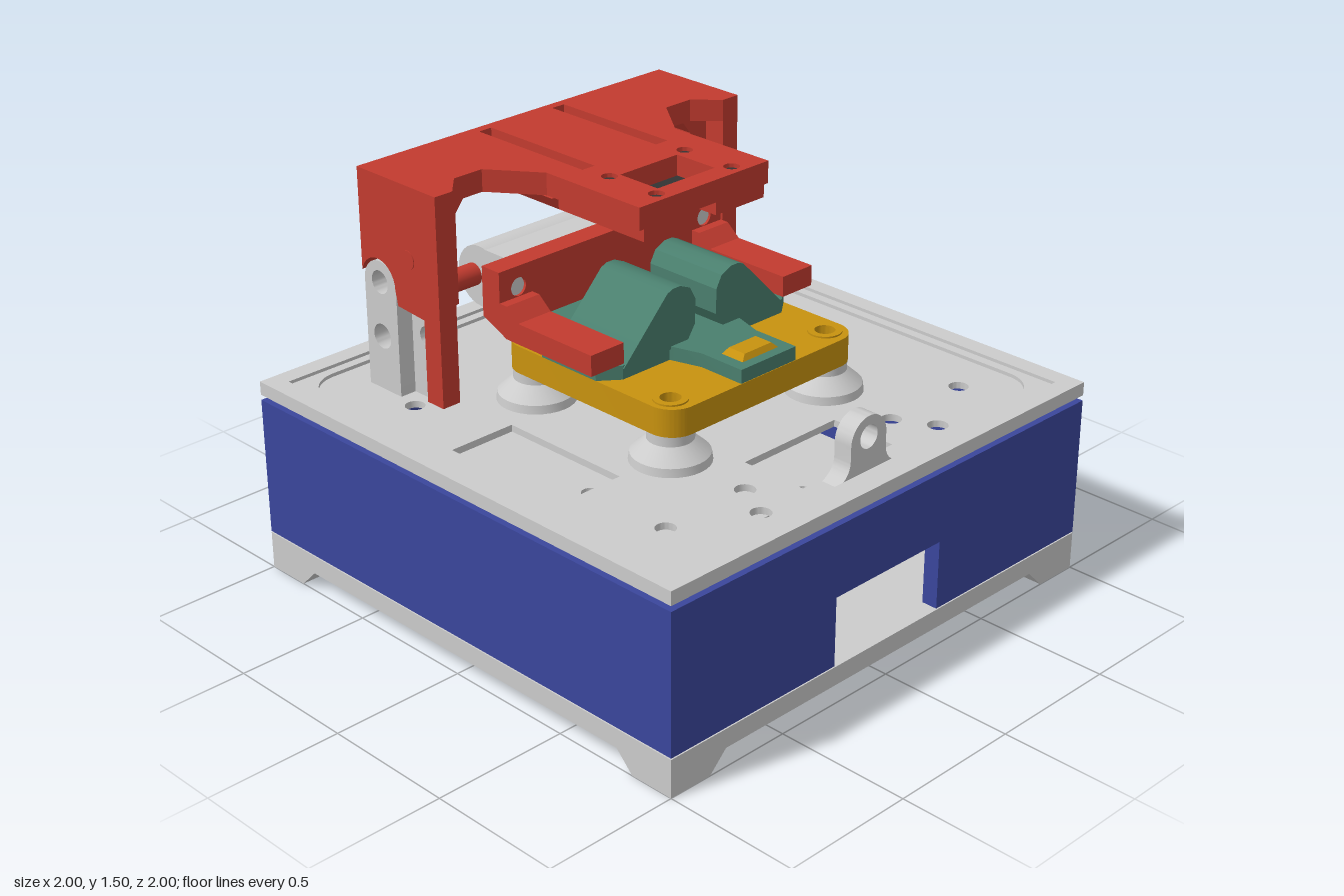
import * as THREE from 'three';
import { toCreasedNormals } from 'three/addons/utils/BufferGeometryUtils.js';

const mat = (color) => new THREE.MeshStandardMaterial({ color });

export function createModel() {
  const root = new THREE.Group();
  const grey = mat(0xcccccc), red = mat(0xc23b2f), blue = mat(0x3a469c);
  const gold = mat(0xc8920f), teal = mat(0x4a7f6e), black = mat(0x333333);

  const add = (name, geo, m) => {
    const mesh = new THREE.Mesh(geo, m);
    mesh.name = name;
    root.add(mesh);
    return mesh;
  };
  // box from its limits
  const box = (name, m, x0, x1, y0, y1, z0, z1) => {
    const g = new THREE.BoxGeometry(Math.abs(x1 - x0), y1 - y0, z1 - z0);
    return add(name, g.translate((x0 + x1) / 2, (y0 + y1) / 2, (z0 + z1) / 2), m);
  };
  const poly = (pts) => new THREE.Shape(pts.map((p) => new THREE.Vector2(p[0], p[1])));
  const rect = (x0, x1, y0, y1) => poly([[x0, y0], [x1, y0], [x1, y1], [x0, y1]]);
  const round = (x0, x1, y0, y1, r) => {
    const s = new THREE.Shape();
    s.absarc(x1 - r, y1 - r, r, 0, Math.PI / 2);
    s.absarc(x0 + r, y1 - r, r, Math.PI / 2, Math.PI);
    s.absarc(x0 + r, y0 + r, r, Math.PI, Math.PI * 1.5);
    s.absarc(x1 - r, y0 + r, r, Math.PI * 1.5, Math.PI * 2);
    return s;
  };
  const disc = (x, y, r) => new THREE.Shape().absarc(x, y, r, 0, Math.PI * 2);
  const extrude = (shape, holes, depth) => {
    shape.holes.push(...holes);
    const g = new THREE.ExtrudeGeometry(shape, { depth, bevelEnabled: false, curveSegments: 16 });
    return toCreasedNormals(g, 0.5);
  };
  // plan shape drawn in (x, -z), raised from y0 to y1
  const plan = (name, m, shape, holes, y0, y1) =>
    add(name, extrude(shape, holes, y1 - y0).rotateX(-Math.PI / 2).translate(0, y0, 0), m);
  // profile drawn in (z, y), spanning xa to xb
  const side = (name, m, shape, holes, xa, xb) =>
    add(name, extrude(shape, holes, Math.abs(xb - xa)).rotateY(-Math.PI / 2).translate(Math.max(xa, xb), 0, 0), m);
  // profile drawn in (x, y), spanning z0 to z1
  const front = (name, m, shape, holes, z0, z1) =>
    add(name, extrude(shape, holes, z1 - z0).translate(0, 0, z0), m);
  const cylX = (name, m, xa, xb, y, z, r) =>
    add(name, new THREE.CylinderGeometry(r, r, Math.abs(xb - xa), 32)
      .rotateZ(Math.PI / 2).translate((xa + xb) / 2, y, z), m);

  const S = [-1, 1];
  const through = [[0.71, -0.685], [-0.71, -0.685], [0.71, 0.52], [-0.71, 0.52]];

  // base plate, feet and screw bosses
  plan('basePlate', grey, rect(-1, 1, -1, 1), [
    rect(-0.57, 0.6, -0.42, 0.24), disc(0, -0.6, 0.045), disc(0, 0.42, 0.035),
    ...through.map(([x, y]) => disc(x, y, 0.036)),
  ], 0.07, 0.14);
  through.forEach(([x, y]) => plan('screwBoss', grey, disc(x, y, 0.065), [disc(x, y, 0.036)], 0.045, 0.07));
  for (const sx of S) for (const sz of S) {
    const g = new THREE.BoxGeometry(0.24, 0.07, 0.24);
    const p = g.attributes.position;
    for (let i = 0; i < p.count; i++) {
      if (p.getY(i) > 0) continue;
      if (p.getX(i) * sx < 0) p.setX(i, p.getX(i) + 0.07 * sx);
      if (p.getZ(i) * sz < 0) p.setZ(i, p.getZ(i) + 0.07 * sz);
    }
    g.computeVertexNormals();
    add('foot', g.translate(sx * 0.88, 0.035, sz * 0.88), grey);
  }

  // circuit tray inside the housing
  plan('innerTray', grey, rect(-0.56, 0.56, -0.22, 0.14), [
    rect(-0.45, 0.35, 0.07, 0.09), disc(-0.5, -0.17, 0.02), disc(0.5, -0.17, 0.02), disc(-0.5, 0.09, 0.02),
  ], 0.16, 0.19);
  box('innerBoard', grey, -0.45, 0.04, 0.19, 0.23, -0.1, 0.18);

  // housing walls with a window in front and back
  for (const s of S) {
    box('sideWall', blue, s * 0.94, s, 0.145, 0.66, -1, 1);
    front('windowWall', blue, poly([[-0.94, 0.145], [-0.26, 0.145], [-0.26, 0.4], [0.25, 0.4], [0.25, 0.145],
      [0.94, 0.145], [0.94, 0.66], [-0.94, 0.66]]), [], s > 0 ? 0.94 : -1, s > 0 ? 1 : -0.94);
  }

  // top tray: floor, ledge and rim
  plan('topFloor', grey, rect(-1, 1, -1, 1), [
    rect(-0.835, -0.575, -0.34, 0.18), rect(-0.22, 0.215, -0.81, -0.555),
    ...through.map(([x, y]) => disc(x, y, 0.035)),
    ...S.flatMap((s) => [disc(s * 0.435, 0.83, 0.036), disc(s * 0.43, -0.825, 0.036), disc(s * 0.355, -0.685, 0.036)]),
  ], 0.68, 0.705);
  plan('topLedge', grey, rect(-1, 1, -1, 1), [round(-0.895, 0.895, -0.89, 0.895, 0.13)], 0.705, 0.718);
  plan('topRim', grey, rect(-1, 1, -1, 1), [rect(-0.93, 0.93, -0.93, 0.93)], 0.718, 0.73);

  // front eyelet
  const eye = new THREE.Shape();
  eye.moveTo(-0.14, 0.705);
  eye.lineTo(0.14, 0.705);
  eye.quadraticCurveTo(0.085, 0.73, 0.085, 0.78);
  eye.lineTo(0.085, 0.83);
  eye.absarc(0, 0.83, 0.085, 0, Math.PI);
  eye.lineTo(-0.085, 0.78);
  eye.quadraticCurveTo(-0.085, 0.73, -0.14, 0.705);
  front('frontEyelet', grey, eye, [disc(0, 0.84, 0.042)], 0.82, 0.89);

  // flared standoffs under the platform
  const flare = [[0, 0.7], [0.14, 0.7], [0.135, 0.735], [0.08, 0.785], [0.08, 0.82], [0, 0.82]]
    .map((p) => new THREE.Vector2(p[0], p[1]));
  for (const s of S) for (const z of [0.365, -0.28])
    add('standoff', toCreasedNormals(new THREE.LatheGeometry(flare, 32), 0.4).translate(s * 0.37, 0, z), grey);

  // platform
  const corners = (r) => S.flatMap((s) => [disc(s * 0.37, -0.365, r), disc(s * 0.37, 0.28, r)]);
  plan('platform', gold, round(-0.45, 0.45, -0.452, 0.37, 0.09), corners(0.04), 0.82, 0.92);
  S.forEach((s) => plan('platformCollar', gold, disc(s * 0.37, -0.365, 0.06), [disc(s * 0.37, -0.365, 0.036)], 0.92, 0.926));

  // cradle plate with tongue, slanted cheeks and a button
  plan('cradlePlate', teal, poly([[-0.13, -0.45], [0.13, -0.45], [0.13, -0.27], [0.165, -0.155], [0.38, -0.155],
    [0.45, -0.1], [0.45, 0.16], [0.28, 0.165], [0.28, 0.36], [-0.28, 0.36], [-0.28, 0.165], [-0.45, 0.16],
    [-0.45, -0.1], [-0.38, -0.155], [-0.165, -0.155], [-0.13, -0.27]]), [], 0.92, 0.97);
  for (const s of S) {
    const cheek = poly([[0.38, 0.96], [0.18, 1.165], [0.155, 1.175], [0.12, 1.175], [0.075, 1.155],
      [0.05, 1.11], [0.05, 1.02], [0.09, 0.96]].map(([x, y]) => [s * x, y]));
    front('cradleCheek', teal, cheek, [], -0.155, 0.16);
  }
  const button = new THREE.CylinderGeometry(0.75 * Math.SQRT1_2, Math.SQRT1_2, 1, 4, 1).rotateY(Math.PI / 4);
  add('button', button.toNonIndexed().scale(0.17, 0.02, 0.095).translate(0, 0.98, 0.365), gold)
    .geometry.computeVertexNormals();

  // lower carriage: back plate, forward arms and hinge pins
  front('carriagePlate', red, poly([[-0.525, 1.03], [-0.38, 1.0], [0.38, 1.0], [0.525, 1.03], [0.525, 1.21],
    [-0.525, 1.21]]), S.map((s) => disc(s * 0.44, 1.135, 0.033)), -0.365, -0.28);
  for (const s of S) {
    side('carriageArm', red, poly([[0.16, 0.98], [0.16, 1.055], [-0.19, 1.055], [-0.245, 1.1], [-0.28, 1.1],
      [-0.365, 1.1], [-0.365, 1.03], [-0.25, 0.98]]), [], s * 0.38, s * 0.525);
    cylX('hingePin', red, s * 0.4, s * 0.6, 1.1, -0.53, 0.04);
    add('plateScrew', new THREE.CylinderGeometry(0.033, 0.033, 0.07, 20).rotateX(Math.PI / 2)
      .translate(s * 0.44, 1.135, -0.325), grey);
  }

  // motor behind the carriage
  cylX('motorBody', grey, -0.42, 0.42, 1.1, -0.5, 0.11);
  box('motorMount', grey, -0.42, 0.42, 0.99, 1.205, -0.5, -0.365);

  // upper frame top, with slots and sensor opening
  const half = [[0.3, -0.155], [0.3, 0.285], [0.43, 0.46], [0.55, 0.46], [0.63, 0.375], [0.705, 0.375], [0.705, 0.775]];
  const left = half.map(([x, y]) => [-x, y]).reverse();
  const slot = (s) => rect(Math.min(s * 0.143, s * 0.198), Math.max(s * 0.143, s * 0.198), 0.22, 0.74);
  const screws = S.flatMap((s) => [disc(s * 0.175, 0.115, 0.028), disc(s * 0.175, -0.105, 0.028)]);
  plan('frameTop', red, poly([...half, ...left]),
    [slot(1), slot(-1), rect(-0.14, 0.125, -0.075, 0.1), ...screws], 1.42, 1.5);

  for (const s of S) {
    // ribs beneath the top
    plan('frameRib', red, poly([[0.05, -0.155], [0.28, -0.155], [0.28, 0.775], [0.05, 0.775], [0.05, 0.1],
      [0.14, 0.1], [0.14, -0.075], [0.05, -0.075]].map(([x, y]) => [s * x, y])), [slot(s)], 1.375, 1.42);
    front('ribChamfer', red, poly([[s * 0.28, 1.42], [s * 0.31, 1.42], [s * 0.28, 1.375]]), [], -0.775, -0.25);
    front('frameGusset', red, poly([[s * 0.55, 1.42], [s * 0.515, 1.42], [s * 0.55, 1.375]]), [], -0.775, -0.46);

    // side panel: inner layer, and outer layer cleared around the pivot
    side('frameInnerCheek', red, rect(-0.775, -0.46, 1.05, 1.42), [disc(-0.69, 1.105, 0.04)], s * 0.55, s * 0.632);
    const outer = poly([[-0.775, 1.42], [-0.775, 1.13]]);
    outer.absarc(-0.69, 1.105, 0.088, Math.PI * 0.91, 0, true);
    [[-0.59, 1.05], [-0.455, 1.04], [-0.455, 0.74], [-0.375, 0.74], [-0.375, 1.42]].forEach((p) => outer.lineTo(...p));
    side('frameLeg', red, outer, [], s * 0.632, s * 0.705);
    cylX('framePlug', red, s * 0.69, s * 0.708, 1.235, -0.53, 0.035);

    // hinge bracket with rounded head, low lug and rear block
    const head = new THREE.Shape();
    head.moveTo(-0.77, 0.7);
    head.lineTo(-0.605, 0.7);
    head.lineTo(-0.605, 1.105);
    head.absarc(-0.6875, 1.1, 0.0825, 0, Math.PI);
    side('hingeBracket', grey, head, [disc(-0.69, 1.105, 0.042), disc(-0.69, 0.905, 0.045)], s * 0.637, s * 0.7);
    side('hingeLug', grey, poly([[-0.605, 0.7], [-0.46, 0.7], [-0.475, 1.0], [-0.51, 1.045], [-0.605, 1.045]]),
      [disc(-0.53, 0.935, 0.036)], s * 0.565, s * 0.637);
    front('rearBlock', grey, rect(Math.min(s * 0.5, s * 0.637), Math.max(s * 0.5, s * 0.637), 0.7, 0.88),
      [disc(s * 0.57, 0.81, 0.03)], -0.77, -0.63);

    // sensor fixings
    box('sensorNut', black, s * 0.15, s * 0.21, 1.345, 1.376, -0.07, 0.03);
    for (const z of [-0.115, 0.105])
      add('frameScrew', new THREE.CylinderGeometry(0.028, 0.028, 0.1, 16).translate(s * 0.175, 1.435, z), black);
  }

  // sensor in the frame opening
  box('sensorBoard', black, -0.14, 0.125, 1.405, 1.425, -0.1, 0.075);
  add('sensorLens', new THREE.CylinderGeometry(0.04, 0.03, 0.03, 24).translate(0, 1.395, -0.01), black);

  return root;
}
